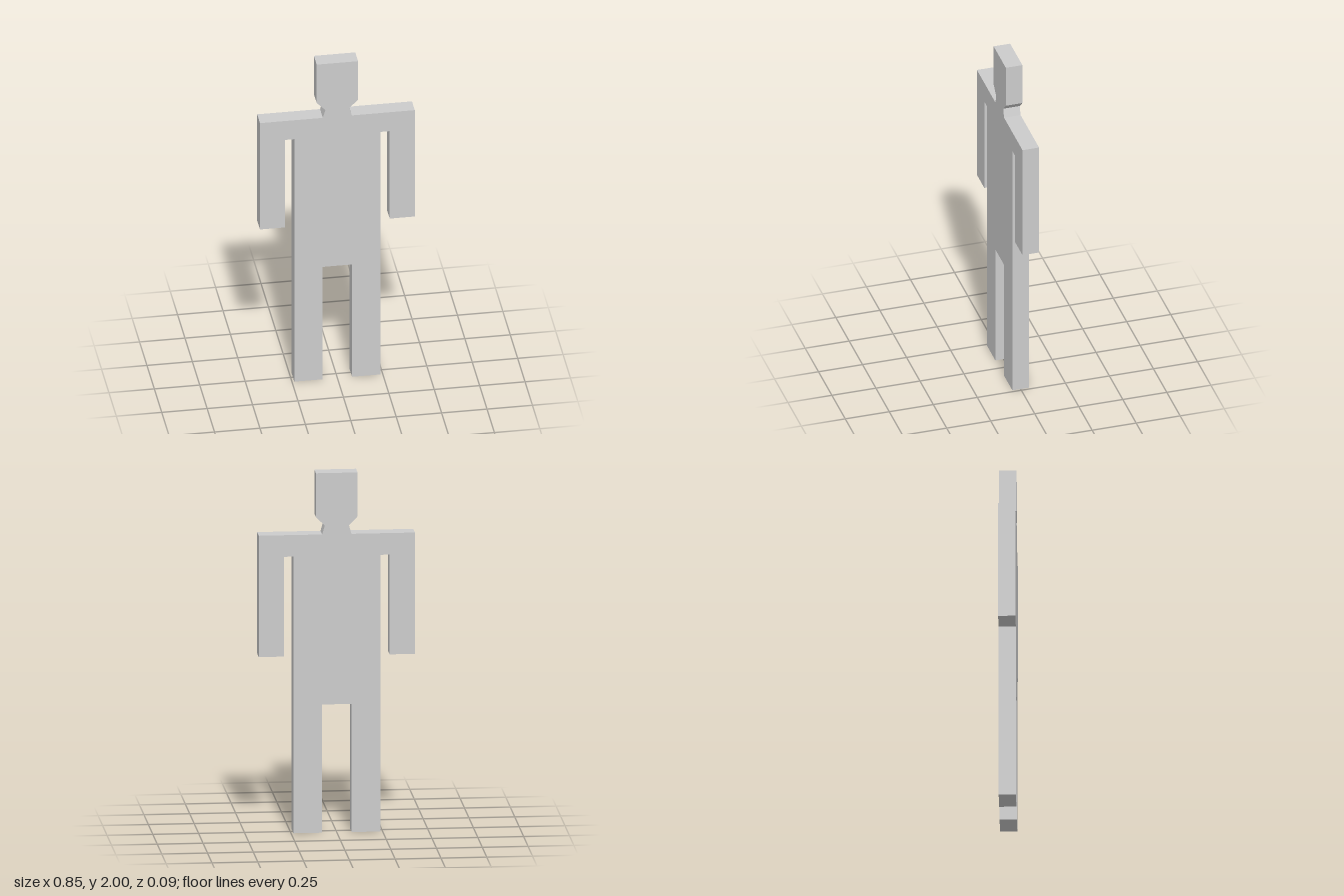
import * as THREE from 'three';

const DEPTH = 0.094;

// Left half of the silhouette, from the crown down to the crotch
const HALF = [
  [0.114, 2], [0.114, 1.756],                 // head
  [0.066, 1.708], [0.08, 1.659],              // neck
  [0.426, 1.659], [0.426, 0.984],             // shoulder and outer arm
  [0.288, 0.984], [0.288, 1.539],             // inner arm
  [0.237, 1.539], [0.237, 0],                 // flank and outer leg
  [0.081, 0], [0.081, 0.713],                 // inner leg and crotch
];

export function createModel() {
  const group = new THREE.Group();
  group.name = 'standingFigure';

  // Mirror the half outline to close the figure
  const mirrored = HALF.map(([x, y]) => [-x, y]).reverse();
  const outline = [...HALF, ...mirrored].map(([x, y]) => new THREE.Vector2(x, y));

  // One flat slab cut to the silhouette
  const geometry = new THREE.ExtrudeGeometry(new THREE.Shape(outline), {
    depth: DEPTH,
    bevelEnabled: false,
  });
  geometry.translate(0, 0, -DEPTH / 2);

  const body = new THREE.Mesh(
    geometry,
    new THREE.MeshStandardMaterial({ color: 0xcccccc, flatShading: true }),
  );
  body.name = 'figureBody';
  group.add(body);
  return group;
}
